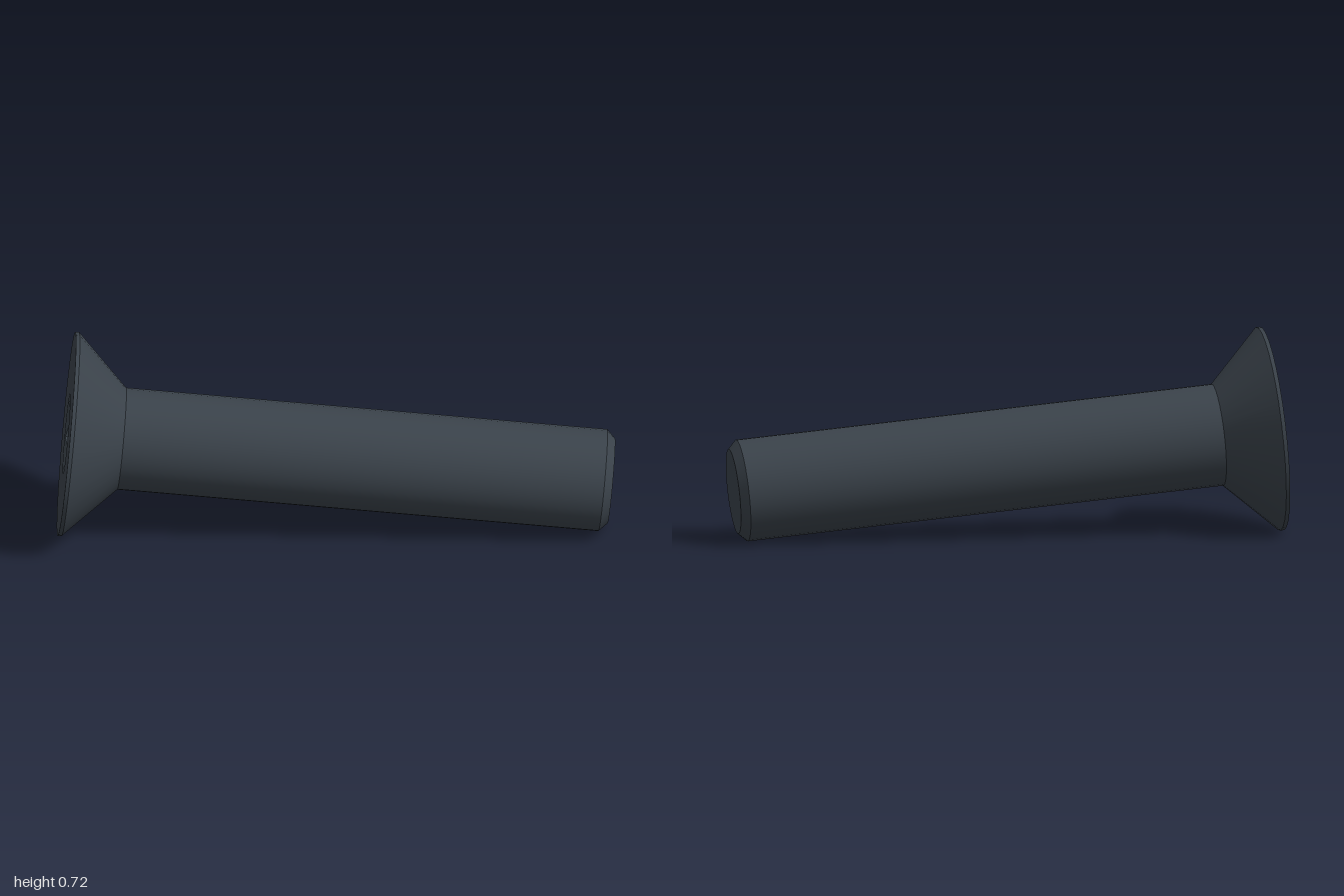
import * as THREE from 'three';

const HEAD_R = 0.362, SHAFT_R = 0.181, TIP_R = 0.151;
const LENGTH = 1.933, SIDES = 32;
const SOCKET_R = 0.142, APOTHEM = 0.12, SOCKET_DEPTH = 0.155, STEPS = 48;

// Hexagonal recess with a conical lead-in; y runs into the head
function socketGeometry() {
  const rings = [[], [], [], []];
  for (let i = 0; i <= STEPS; i++) {
    const a = (i / STEPS) * Math.PI * 2;
    const r = APOTHEM / Math.cos((a % (Math.PI / 3)) - Math.PI / 6);
    const put = (ring, radius, y) => rings[ring].push([radius * Math.cos(a), y, radius * Math.sin(a)]);
    put(0, SOCKET_R, 0);
    put(1, r, (SOCKET_R - r) * 0.58);
    put(2, r, SOCKET_DEPTH);
    put(3, 0, SOCKET_DEPTH);
  }
  const pos = [];
  for (let k = 0; k < 3; k++) {
    for (let i = 0; i < STEPS; i++) {
      const p0 = rings[k][i], p1 = rings[k][i + 1];
      const q0 = rings[k + 1][i], q1 = rings[k + 1][i + 1];
      pos.push(...p0, ...p1, ...q0);
      if (k < 2) pos.push(...p1, ...q1, ...q0);
    }
  }
  const geo = new THREE.BufferGeometry();
  geo.setAttribute('position', new THREE.Float32BufferAttribute(pos, 3));
  geo.computeVertexNormals();
  return geo;
}

// Flat head face with a round opening for the socket
function faceGeometry() {
  const circle = (r, n) => Array.from({ length: n }, (_, i) => {
    const a = (i / n) * Math.PI * 2;
    return new THREE.Vector2(r * Math.cos(a), r * Math.sin(a));
  });
  const shape = new THREE.Shape(circle(HEAD_R, SIDES));
  shape.holes.push(new THREE.Path(circle(SOCKET_R, STEPS)));
  return new THREE.ShapeGeometry(shape).rotateX(Math.PI / 2);
}

export function createModel() {
  const steel = new THREE.MeshStandardMaterial({ color: 0x3a424a });
  steel.name = 'dark steel';

  const screw = new THREE.Group();
  screw.name = 'countersunkScrew';
  const add = (name, geo) => {
    const mesh = new THREE.Mesh(geo, steel);
    mesh.name = name;
    screw.add(mesh);
  };

  // One lathe per band keeps the edges between bands sharp
  const bands = [
    ['headRim', HEAD_R, 0, HEAD_R, 0.014],
    ['headCone', HEAD_R, 0.014, SHAFT_R, 0.196],
    ['shaft', SHAFT_R, 0.196, SHAFT_R, LENGTH - 0.03],
    ['tipChamfer', SHAFT_R, LENGTH - 0.03, TIP_R, LENGTH],
    ['tipFace', TIP_R, LENGTH, 0, LENGTH],
  ];
  for (const [name, r0, y0, r1, y1] of bands) {
    add(name, new THREE.LatheGeometry([new THREE.Vector2(r0, y0), new THREE.Vector2(r1, y1)], SIDES));
  }
  add('headFace', faceGeometry());
  add('hexSocket', socketGeometry());

  // Lay the screw down, leaning on head and tip; local x points up
  const axis = new THREE.Vector3(0.9734, -0.0948, 0.2089).normalize();
  const up = new THREE.Vector3(0, 1, 0).addScaledVector(axis, -axis.y).normalize();
  const side = new THREE.Vector3().crossVectors(up, axis);
  screw.quaternion.setFromRotationMatrix(new THREE.Matrix4().makeBasis(up, axis, side));
  screw.position.set(-0.9165, 0.361, -0.11);

  const model = new THREE.Group();
  model.name = 'screwModel';
  model.add(screw);
  return model;
}
